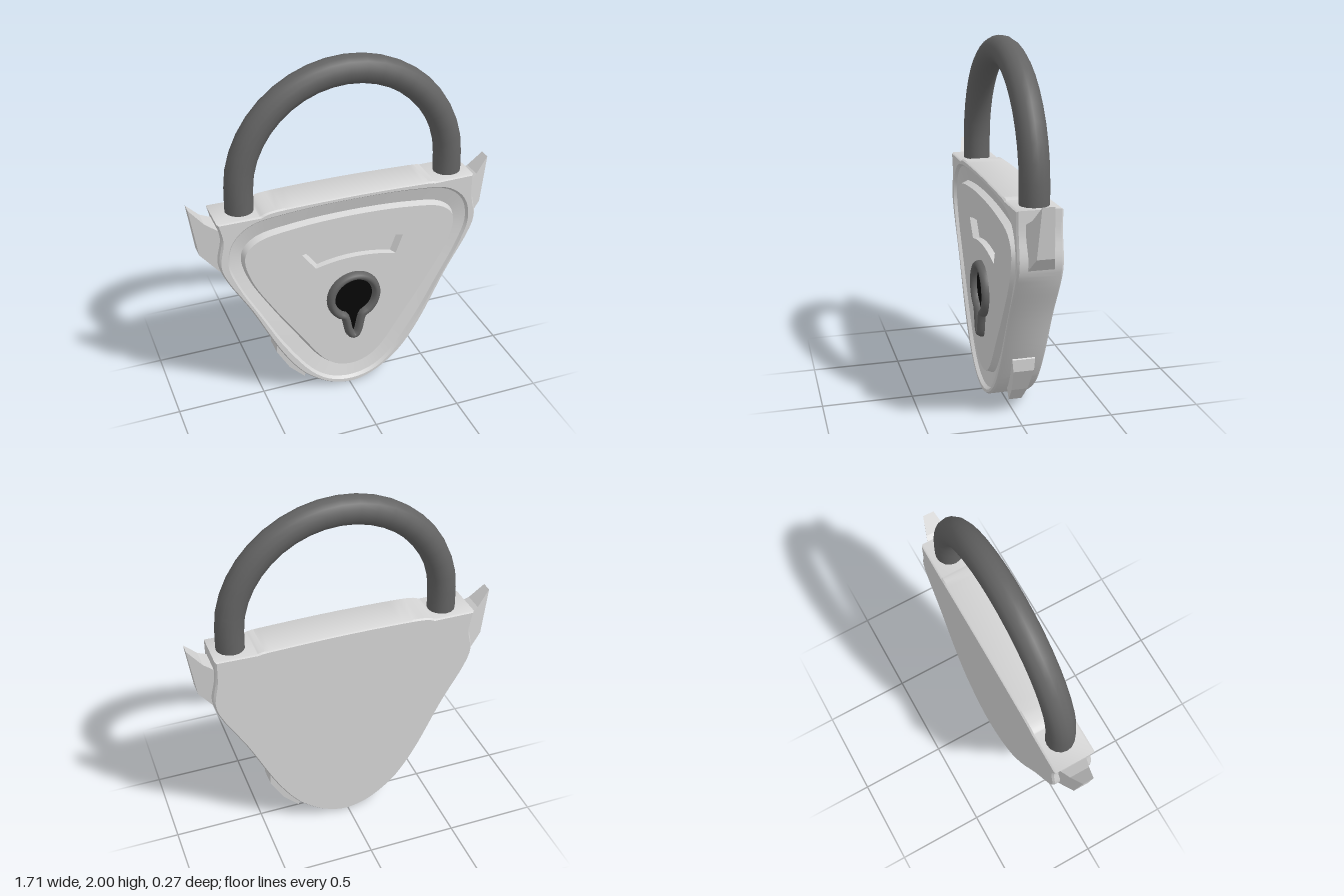
import * as THREE from 'three';
import { toCreasedNormals } from 'three/addons/utils/BufferGeometryUtils.js';

const CX = 0.012; // symmetry line of the padlock
const V2 = (x, y) => new THREE.Vector2(x, y);

// Closed smooth loop (counter-clockwise) from the right half of a contour, listed top to bottom
function mirroredLoop(half, count = 88) {
  const left = half.map(([x, y]) => new THREE.Vector3(CX - x, y, 0));
  const right = half.slice(1, -1).reverse().map(([x, y]) => new THREE.Vector3(CX + x, y, 0));
  const curve = new THREE.CatmullRomCurve3([...left, ...right], true, 'centripetal');
  return Array.from({ length: count }, (_, i) => {
    const p = curve.getPoint(i / count);
    return V2(p.x, p.y);
  });
}

const scaled = (loop, s, cx, cy) => loop.map(p => V2(cx + (p.x - cx) * s, cy + (p.y - cy) * s));

// Lofted surface through loops of equal length, each given as [points, z]
function loft(levels, crease = 0.6) {
  const n = levels[0][0].length, pos = [], idx = [];
  levels.forEach(([loop, z]) => loop.forEach(p => pos.push(p.x, p.y, z)));
  for (let k = 0; k < levels.length - 1; k++) {
    for (let i = 0; i < n; i++) {
      const a = k * n + i, b = k * n + (i + 1) % n;
      idx.push(a, b, b + n, a, b + n, a + n);
    }
  }
  const g = new THREE.BufferGeometry();
  g.setAttribute('position', new THREE.Float32BufferAttribute(pos, 3));
  g.setIndex(idx);
  return toCreasedNormals(g, crease);
}

// Flat sheet facing +z, with optional holes
function sheet(loop, z, holes = []) {
  const s = new THREE.Shape(loop);
  s.holes = holes.map(h => new THREE.Path(h));
  return new THREE.ShapeGeometry(s).translate(0, 0, z);
}

// Solid fin from a side profile, its half-thickness given by a rule of x and y
function fin(profile, halfWidth) {
  const g = new THREE.ExtrudeGeometry(new THREE.Shape(profile.map(p => V2(...p))),
    { depth: 2, bevelEnabled: false }).translate(0, 0, -1);
  const p = g.attributes.position;
  for (let i = 0; i < p.count; i++) {
    p.setZ(i, -0.02 + p.getZ(i) * halfWidth(p.getX(i), p.getY(i)));
  }
  g.computeVertexNormals();
  return g;
}

export function createModel() {
  const model = new THREE.Group();
  const material = (name, color) => {
    const m = new THREE.MeshStandardMaterial({ color });
    m.name = name;
    return m;
  };
  const steel = material('light steel', 0xd4d4d4);
  const darkSteel = material('dark steel', 0x636363);
  const black = material('black', 0x060606);
  const add = (name, geometry, mat, parent = model) => {
    const mesh = new THREE.Mesh(geometry, mat);
    mesh.name = name;
    parent.add(mesh);
  };

  // Body outline: nearly flat top with corner pads, rounded triangle below
  const shape = new THREE.Shape();
  shape.moveTo(0.725, 1.247);
  shape.lineTo(0.5, 1.242);
  shape.splineThru([V2(0.42, 1.25), V2(CX, 1.258), V2(-0.4, 1.25), V2(-0.5, 1.228)]);
  shape.lineTo(-0.73, 1.228);
  const flank = [[0.722, 1.12], [0.742, 0.98], [0.7, 0.86], [0.58, 0.65], [0.437, 0.36],
    [0.32, 0.18], [0.21, 0.08], [0.11, 0.025]];
  shape.splineThru([
    ...flank.map(([x, y]) => V2(CX - x, y)), V2(CX, 0.003),
    ...flank.slice().reverse().map(([x, y]) => V2(CX + x - 0.006, y)), V2(0.725, 1.247),
  ]);
  const outline = shape.getPoints(5).slice(0, -1);
  const edge = scaled(outline, 0.988, CX, 0.7);

  // Front contours: outer rim, groove floor and raised panel
  const rim = mirroredLoop([[0, 1.236], [0.35, 1.225], [0.57, 1.19], [0.67, 1.1], [0.695, 0.97],
    [0.65, 0.83], [0.53, 0.6], [0.4, 0.36], [0.24, 0.14], [0.13, 0.06], [0, 0.032]]);
  const panel = mirroredLoop([[0, 1.135], [0.32, 1.12], [0.52, 1.085], [0.59, 1.03], [0.605, 0.97],
    [0.565, 0.83], [0.45, 0.63], [0.31, 0.42], [0.17, 0.22], [0.09, 0.16], [0, 0.14]]);
  const between = t => rim.map((p, i) => p.clone().lerp(panel[i], t));

  // Arched slot above the keyhole
  const slotShape = new THREE.Shape();
  slotShape.moveTo(0.31, 0.947);
  slotShape.quadraticCurveTo(0.018, 1.018, -0.278, 0.945);
  slotShape.lineTo(-0.2, 0.842);
  slotShape.quadraticCurveTo(0.02, 0.9, 0.27, 0.838);
  slotShape.lineTo(0.31, 0.947);
  const slot = slotShape.getPoints(10).slice(0, -1);
  const slotFloor = scaled(slot, 0.92, 0.016, 0.92);

  const body = new THREE.Group();
  body.name = 'body';
  model.add(body);
  add('sideWall', loft([[edge, -0.135], [outline, -0.125], [outline, 0.09], [edge, 0.1]]), steel, body);
  add('backPlate', sheet(edge.map(p => V2(-p.x, p.y)), 0.135).rotateY(Math.PI), steel, body);
  add('frontRim', sheet(edge, 0.1, [rim]), steel, body);
  add('groove', loft([[rim, 0.1], [between(0.12), 0.082], [between(0.86), 0.06], [panel, 0.096]]), steel, body);
  add('frontPanel', sheet(panel, 0.096, [slot]), steel, body);
  add('slotWall', loft([[slot, 0.096], [slotFloor, 0.062]]), steel, body);
  add('slotFloor', sheet(slotFloor, 0.062), steel, body);

  // Keyhole: rounded collar around a black opening
  const key = [];
  for (let i = 0; i <= 20; i++) {
    const a = -Math.PI / 2 + 0.42 + (i / 20) * (Math.PI * 2 - 0.84);
    key.push(new THREE.Vector3(0.018 + 0.135 * Math.cos(a), 0.615 + 0.135 * Math.sin(a), 0));
  }
  [[-0.045, 0.465], [-0.021, 0.37], [0, 0.354], [0.021, 0.37], [0.045, 0.465]]
    .forEach(([x, y]) => key.push(new THREE.Vector3(0.018 + x, y, 0)));
  const keyCurve = new THREE.CatmullRomCurve3(key, true, 'centripetal');
  add('keyholeCollar', new THREE.TubeGeometry(keyCurve, 80, 0.024, 12, true)
    .scale(1, 1, 1.5).translate(0, 0, 0.099), darkSteel);
  add('keyholeOpening', sheet(keyCurve.getPoints(80).slice(0, -1).map(p => V2(p.x, p.y)), 0.1), black);

  // Shackle: straight legs joined by a half ring
  const shackle = new THREE.CurvePath();
  const R = 0.597, sx = 0.018, sy = 1.326, sz = -0.02;
  const arc = Array.from({ length: 17 }, (_, i) => {
    const a = Math.PI * (1 - i / 16);
    return new THREE.Vector3(sx + R * Math.cos(a), sy + R * Math.sin(a), sz);
  });
  const leg = side => new THREE.Vector3(sx + side * R, 1.17, sz);
  shackle.add(new THREE.LineCurve3(leg(-1), arc[0]));
  shackle.add(new THREE.CatmullRomCurve3(arc));
  shackle.add(new THREE.LineCurve3(arc[16], leg(1)));
  add('shackle', new THREE.TubeGeometry(shackle, 24, 0.077, 16), darkSteel);

  // Pointed fins at the shoulders and near the bottom, mirrored
  const shoulder = [[0.69, 0.9], [0.728, 0.93], [0.815, 1.025], [0.853, 1.293], [0.778, 1.21],
    [0.722, 1.175], [0.67, 1.15]];
  const lower = [[0.41, 0.38], [0.25, 0.22], [0.262, 0.19], [0.252, 0.125], [0.268, 0.057],
    [0.36, 0.155], [0.437, 0.293], [0.437, 0.36]];
  for (const side of [1, -1]) {
    const place = (pts, centre) => {
      const q = pts.map(([x, y]) => [centre + side * x, y]);
      return side < 0 ? q.reverse() : q;
    };
    const label = side > 0 ? 'left' : 'right';
    add(label + 'ShoulderFin', fin(place(shoulder, -0.002),
      x => THREE.MathUtils.mapLinear(Math.abs(x), 0.715, 0.85, 0.078, 0.032)), steel);
    add(label + 'LowerFin', fin(place(lower, 0.015),
      (x, y) => THREE.MathUtils.mapLinear(y, 0.06, 0.36, 0.036, 0.062)), steel);
  }
  return model;
}
